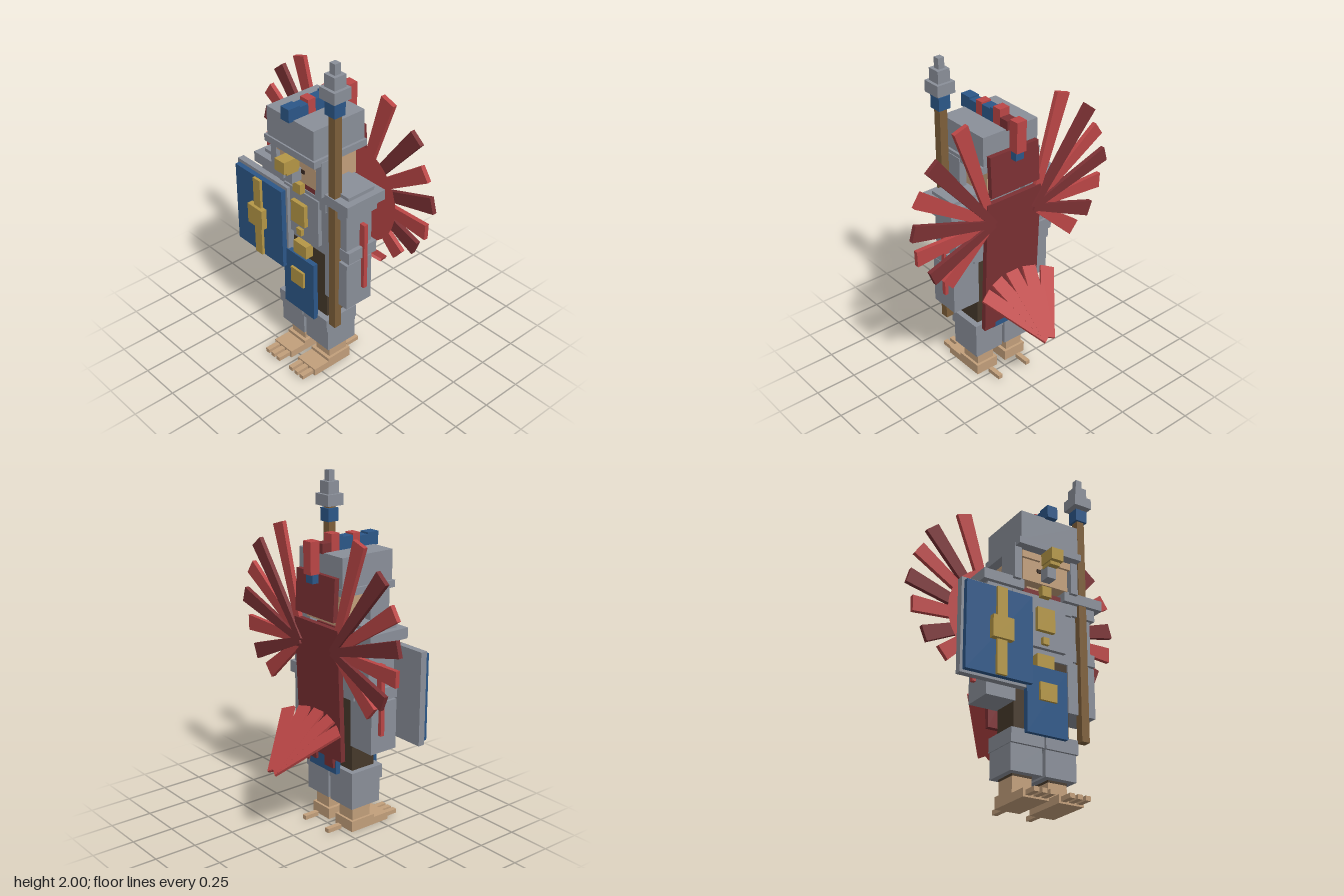
import * as THREE from 'three';

const mat = (name, color, side = THREE.FrontSide) => {
  const m = new THREE.MeshStandardMaterial({ color, side });
  m.name = name;
  return m;
};

export function createModel() {
  const steel = mat('steel', 0x8a8f99), red = mat('red', 0xbb4646), darkRed = mat('darkRed', 0x7b3033);
  const blue = mat('blue', 0x2c5788), gold = mat('gold', 0xb59746), skin = mat('skin', 0xc29f7b);
  const wood = mat('wood', 0x7d5f3a), leather = mat('leather', 0x46392b), eyeDark = mat('eyeDark', 0x3a2a22);

  const root = new THREE.Group();
  const group = (name) => {
    const g = new THREE.Group();
    g.name = name;
    root.add(g);
    return g;
  };
  // Box given by its minimum and maximum on each axis
  const box = (parent, name, m, x0, x1, y0, y1, z0, z1) => {
    const mesh = new THREE.Mesh(new THREE.BoxGeometry(x1 - x0, y1 - y0, z1 - z0), m);
    mesh.position.set((x0 + x1) / 2, (y0 + y1) / 2, (z0 + z1) / 2);
    mesh.name = name;
    parent.add(mesh);
    return mesh;
  };
  // The same box on both sides of the body
  const pair = (parent, name, m, x0, x1, ...r) => {
    box(parent, name + 'Left', m, x0, x1, ...r);
    box(parent, name + 'Right', m, -x1, -x0, ...r);
  };
  // Flat feather pointing along +y from its root
  const feather = (length, rootWidth, tipWidth, depth, m) => {
    const s = new THREE.Shape([
      new THREE.Vector2(-rootWidth / 2, 0), new THREE.Vector2(rootWidth / 2, 0),
      new THREE.Vector2(tipWidth / 2, length), new THREE.Vector2(-tipWidth / 2, length)]);
    return new THREE.Mesh(new THREE.ExtrudeGeometry(s, { depth, bevelEnabled: false }), m);
  };

  // Feet and legs
  const legs = group('legs');
  pair(legs, 'heel', skin, 0.03, 0.18, 0, 0.065, 0.035, 0.2);
  pair(legs, 'foot', skin, 0.03, 0.18, 0, 0.045, 0.2, 0.305);
  for (const x of [0.043, 0.09, 0.137]) pair(legs, 'toe', skin, x, x + 0.03, 0.01, 0.035, 0.3, 0.385);
  pair(legs, 'backToe', skin, 0.09, 0.12, 0.01, 0.035, -0.09, 0.005);
  pair(legs, 'ankle', skin, 0.05, 0.165, 0.06, 0.145, 0.05, 0.18);
  pair(legs, 'ankleStrap', leather, 0.048, 0.167, 0.143, 0.16, 0.048, 0.182);
  pair(legs, 'greave', steel, 0.01, 0.2, 0.155, 0.3, 0.015, 0.22);
  pair(legs, 'kneeGuard', steel, 0.005, 0.205, 0.3, 0.38, 0.01, 0.235);

  // Skirt, torso and chest ornaments
  const torso = group('torso');
  box(torso, 'skirt', leather, -0.17, 0.17, 0.36, 0.82, 0.04, 0.2);
  box(torso, 'body', steel, -0.2, 0.2, 0.81, 1.18, 0.02, 0.21);
  box(torso, 'chestPlate', steel, -0.14, 0.14, 0.86, 1.15, 0.2, 0.235);
  box(torso, 'neckPlate', steel, -0.19, 0.19, 1.1, 1.17, 0.02, 0.225);
  box(torso, 'collar', darkRed, -0.12, 0.12, 1.17, 1.2, 0.02, 0.22);
  box(torso, 'chestBadge', gold, -0.055, 0.055, 0.95, 1.085, 0.235, 0.26);
  box(torso, 'chestStud', gold, -0.02, 0.02, 0.875, 0.915, 0.235, 0.255);
  box(torso, 'beltBuckle', gold, -0.053, 0.053, 0.735, 0.815, 0.19, 0.25);
  box(torso, 'frontCloth', blue, -0.125, 0.125, 0.36, 0.735, 0.23, 0.26);
  box(torso, 'frontClothBadge', gold, -0.052, 0.052, 0.545, 0.645, 0.26, 0.275);
  box(torso, 'backCloth', blue, -0.12, 0.12, 0.36, 0.735, -0.035, -0.005);

  // Arms and shoulders
  const arms = group('arms');
  pair(arms, 'pauldronTop', steel, 0.14, 0.34, 1.235, 1.255, 0.02, 0.2);
  pair(arms, 'pauldron', steel, 0.13, 0.38, 1.175, 1.235, -0.02, 0.245);
  pair(arms, 'pauldronLower', steel, 0.17, 0.345, 1.11, 1.175, 0, 0.22);
  pair(arms, 'upperArm', steel, 0.19, 0.325, 0.89, 1.11, 0.02, 0.2);
  pair(arms, 'elbow', steel, 0.19, 0.35, 0.84, 0.91, 0.005, 0.205);
  pair(arms, 'elbowJoint', steel, 0.19, 0.32, 0.81, 0.85, 0.04, 0.19);
  pair(arms, 'forearm', steel, 0.165, 0.34, 0.535, 0.825, 0.03, 0.21);
  pair(arms, 'armRibbon', red, 0.325, 0.362, 0.64, 1.05, 0.08, 0.105);

  // Head and face
  const head = group('head');
  box(head, 'neck', skin, -0.08, 0.08, 1.17, 1.25, 0.05, 0.19);
  box(head, 'face', skin, -0.145, 0.145, 1.23, 1.42, -0.03, 0.25);
  pair(head, 'brow', skin, 0.04, 0.155, 1.36, 1.4, 0.24, 0.265);
  pair(head, 'eye', eyeDark, 0.03, 0.055, 1.29, 1.312, 0.25, 0.256);
  box(head, 'mouthGuard', steel, -0.027, 0.027, 1.245, 1.32, 0.25, 0.315);
  box(head, 'noseGuard', gold, -0.038, 0.038, 1.33, 1.4, 0.27, 0.375);
  box(head, 'noseGuardTip', gold, -0.03, 0.03, 1.31, 1.33, 0.27, 0.35);
  box(head, 'chinClasp', gold, -0.03, 0.03, 1.155, 1.215, 0.23, 0.265);

  // Helmet with crest
  const helmet = group('helmet');
  box(helmet, 'dome', steel, -0.185, 0.185, 1.44, 1.62, -0.05, 0.3);
  box(helmet, 'rim', steel, -0.2, 0.2, 1.41, 1.45, -0.055, 0.31);
  pair(helmet, 'cheekGuard', steel, 0.16, 0.205, 1.22, 1.43, 0.13, 0.265);
  const crest = [
    [0.255, 0.33, 1.69, blue], [0.2, 0.255, 1.68, blue], [0.15, 0.2, 1.7, red], [0.08, 0.15, 1.69, blue],
    [0.055, 0.08, 1.7, blue], [0, 0.055, 1.715, red], [-0.06, 0, 1.67, darkRed]];
  crest.forEach(([z0, z1, top, m], i) => box(helmet, 'crest' + i, m, -0.032, 0.032, 1.615, top, z0, z1));
  box(helmet, 'crestTail', red, -0.032, 0.032, 1.51, 1.69, -0.14, -0.08);
  box(helmet, 'crestTailEnd', blue, -0.028, 0.028, 1.46, 1.51, -0.125, -0.085);

  // Neck cloth and dagged cape
  const cape = group('cape');
  const neckCloth = box(cape, 'neckCloth', darkRed, -0.165, 0.165, 1.27, 1.51, -0.09, -0.06);
  neckCloth.rotation.x = 0.05;
  const back = new THREE.Group();
  back.name = 'capeBack';
  back.position.set(0, 1.23, -0.07);
  back.rotation.x = -0.04;
  cape.add(back);
  box(back, 'capePanel', darkRed, -0.187, 0.187, -0.77, 0, -0.015, 0.015);
  [0.0, 0.06, 0.0, 0.05, 0.08].forEach((d, i) => {
    if (d) box(back, 'capeDag' + i, darkRed, -0.187 + i * 0.0748, -0.112 + i * 0.0748, -0.77 - d, -0.77, -0.015, 0.015);
  });

  // Wing fans: seven widening feathers and a disc on each side
  const fan = [[72, 0.66], [51, 0.63], [34, 0.58], [16, 0.55], [-2, 0.505], [-22, 0.455], [-40, 0.41]];
  for (const s of [1, -1]) {
    const wing = group(s > 0 ? 'leftWing' : 'rightWing');
    wing.position.set(0.14 * s, 1.1, 0);
    fan.forEach(([deg, length], i) => {
      const f = feather(length, 0.04, 0.092, 0.026, i % 2 ? darkRed : red);
      f.name = 'wingFeather' + i;
      f.rotation.z = s * (deg - 90) * Math.PI / 180;
      f.position.z = i % 2 ? -0.092 : -0.078;
      wing.add(f);
    });
    const disc = new THREE.Mesh(new THREE.CircleGeometry(0.3, 32), red);
    disc.name = 'wingDisc';
    disc.position.set(0, 0.01, -0.04);
    wing.add(disc);
  }

  // Tail fan, opening upwards from its low rear point
  const tail = group('tail');
  tail.position.set(0, 0.44, -0.378);
  tail.rotation.x = Math.atan2(0.315, 0.275);
  for (let i = -2; i <= 2; i++) {
    const f = feather(0.425, 0.08, 0.085, 0.016, red);
    f.name = 'tailFeather';
    f.rotation.z = i * 16 * Math.PI / 180;
    f.position.z = -0.008 + Math.abs(i) * 0.0006;
    tail.add(f);
  }

  // Shield on the right arm
  const shield = group('shield');
  box(shield, 'shieldFrame', steel, -0.52, -0.09, 0.6, 1.135, 0.215, 0.255);
  box(shield, 'shieldFace', blue, -0.505, -0.105, 0.615, 1.115, 0.255, 0.285);
  box(shield, 'shieldStripe', gold, -0.33, -0.27, 0.617, 1.113, 0.285, 0.302);
  box(shield, 'shieldBoss', gold, -0.365, -0.24, 0.81, 0.935, 0.285, 0.32);

  // Spear beside the left arm
  const spear = group('spear');
  const rod = (name, m, w, y0, y1) =>
    box(spear, name, m, 0.253 - w / 2, 0.253 + w / 2, y0, y1, 0.215 - w / 2, 0.215 + w / 2);
  rod('shaft', wood, 0.048, 0.38, 1.8);
  rod('spearCollar', blue, 0.073, 1.715, 1.79);
  rod('spearBase', steel, 0.112, 1.805, 1.87);
  rod('spearMiddle', steel, 0.076, 1.87, 1.94);
  rod('spearTip', steel, 0.038, 1.94, 2);

  return root;
}
